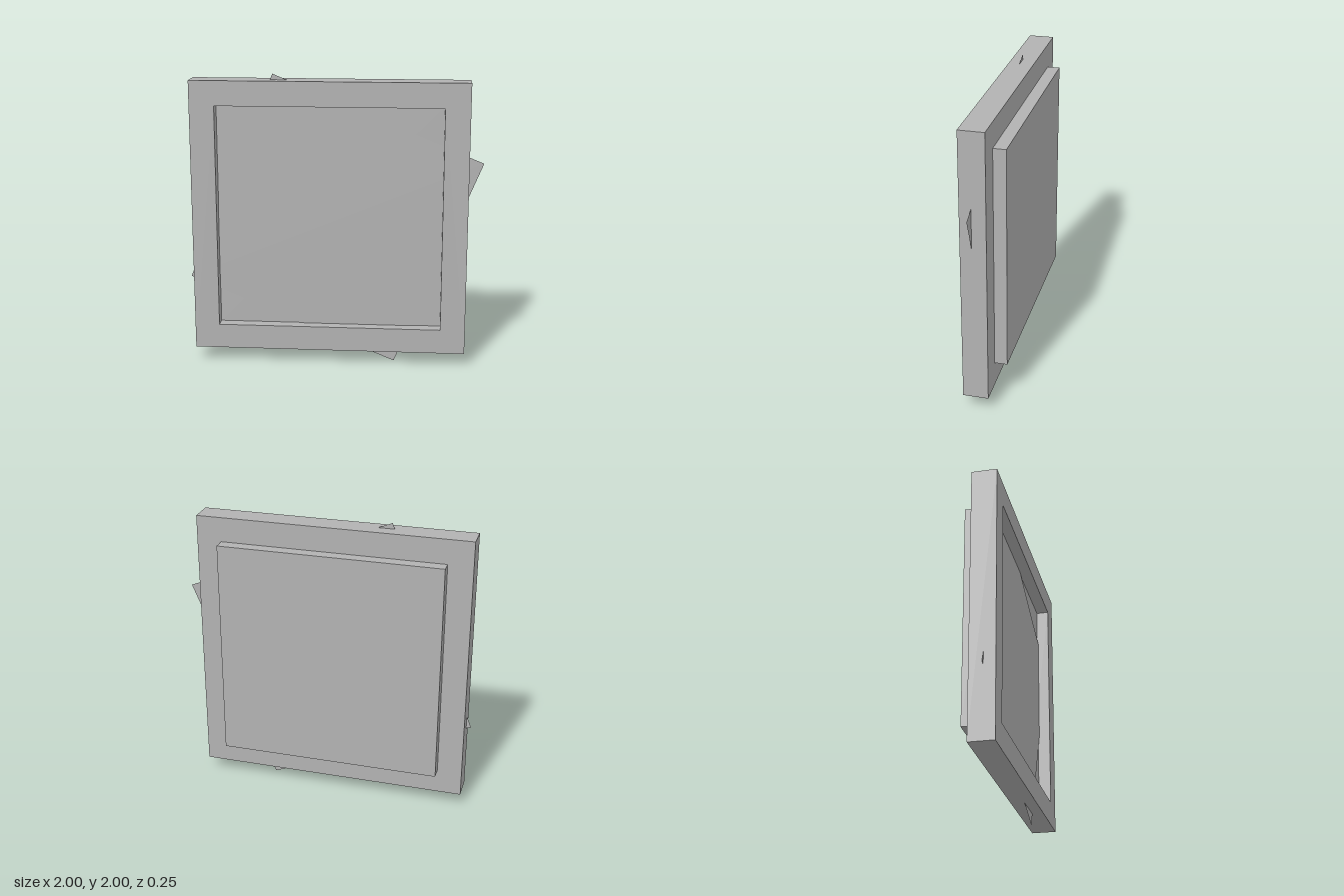
import * as THREE from 'three';

export function createModel() {
  const group = new THREE.Group();
  const grey = new THREE.MeshStandardMaterial({ color: 0xb2b2b2 });
  grey.name = 'grey';
  const greySheet = new THREE.MeshStandardMaterial({ color: 0xb2b2b2, side: THREE.DoubleSide });
  greySheet.name = 'grey sheet';

  const outer = 1.867, inner = 1.53, depth = 0.17;
  const cx = -0.033, cy = 1.026;

  const add = (name, geometry, material, x, y, z) => {
    const mesh = new THREE.Mesh(geometry, material);
    mesh.name = name;
    mesh.position.set(x, y, z);
    group.add(mesh);
    return mesh;
  };

  const square = (Type, size) => {
    const h = size / 2;
    return new Type([[-h, -h], [h, -h], [h, h], [-h, h]].map(([x, y]) => new THREE.Vector2(x, y)));
  };

  // Square frame with an open centre
  const border = square(THREE.Shape, outer);
  border.holes.push(square(THREE.Path, inner));
  const frameGeometry = new THREE.ExtrudeGeometry(border, { depth, bevelEnabled: false });
  add('frame', frameGeometry, grey, cx, cy, -0.043);

  // Panel filling the opening, set back by half its depth
  add('backPanel', new THREE.BoxGeometry(inner, inner, depth), grey, cx, cy, -0.043);

  // Thin turned sheet whose corners poke out through the frame
  const sheet = add('turnedSheet', new THREE.PlaneGeometry(inner, inner), greySheet, 0, 1.0, 0.05);
  sheet.rotation.z = -Math.PI / 8;

  return group;
}
